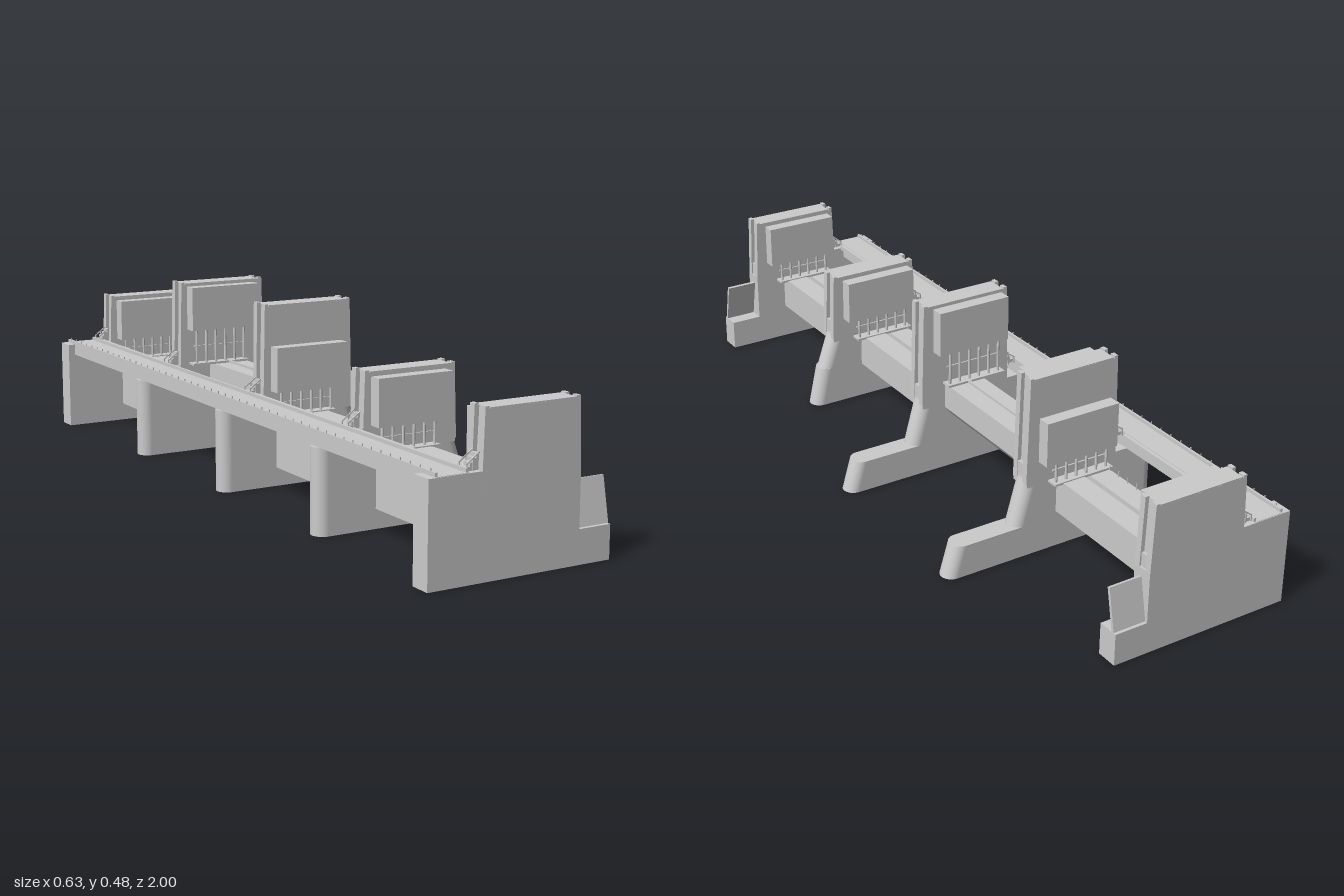
import * as THREE from 'three';

const grey = new THREE.MeshStandardMaterial({ color: 0xcccccc, side: THREE.DoubleSide, flatShading: true });

export function createModel() {
  const model = new THREE.Group();
  model.name = 'riverBarrage';

  function add(parent, name, geometry) {
    const m = new THREE.Mesh(geometry, grey);
    m.name = name;
    parent.add(m);
    return m;
  }
  // Box from its minimum and maximum corners
  function box(parent, name, x0, x1, y0, y1, z0, z1) {
    const g = new THREE.BoxGeometry(x1 - x0, y1 - y0, Math.abs(z1 - z0));
    g.translate((x0 + x1) / 2, (y0 + y1) / 2, (z0 + z1) / 2);
    return add(parent, name, g);
  }
  // Extrusion of a side profile across the width w
  function slab(parent, name, points, w) {
    const shape = new THREE.Shape(points.map(p => new THREE.Vector2(p[0], p[1])));
    const g = new THREE.ExtrudeGeometry(shape, { depth: w, bevelEnabled: false });
    g.translate(0, 0, -w / 2);
    return add(parent, name, g);
  }
  // Upright block with round ends, its nose moved out by flare at the bottom
  function roundBlock(parent, name, x0, x1, w, y0, y1, flare, roundBack) {
    const r = w / 2;
    const s = new THREE.Shape();
    s.moveTo(x0 + (roundBack ? r : 0), -r);
    s.lineTo(x1 - r, -r);
    s.absarc(x1 - r, 0, r, -Math.PI / 2, Math.PI / 2, false);
    if (roundBack) s.absarc(x0 + r, 0, r, Math.PI / 2, Math.PI * 1.5, false);
    else s.lineTo(x0, r);
    s.closePath();
    const g = new THREE.ExtrudeGeometry(s, { depth: y1 - y0, bevelEnabled: false, curveSegments: 14 });
    g.rotateX(-Math.PI / 2);
    g.translate(0, y0, 0);
    const p = g.attributes.position;
    for (let i = 0; i < p.count; i++) {
      if (p.getX(i) > x1 - r - 0.001) p.setX(i, p.getX(i) + flare * (y1 - p.getY(i)) / (y1 - y0));
    }
    g.computeVertexNormals();
    return add(parent, name, g);
  }

  // Tower with ribs on its ends, and a stair to the deck
  function tower(parent, top, w) {
    slab(parent, 'tower', [[-0.168, 0.2], [0.08, 0.2], [0.073, top], [-0.16, top]], w);
    for (const z of [-1, 1]) {
      const rib = slab(parent, 'towerRib', [[-0.178, 0.2], [0.09, 0.2], [0.083, top + 0.003],
        [0.073, top + 0.003], [0.073, top - 0.003], [-0.162, top - 0.003], [-0.162, top + 0.003], [-0.172, top + 0.003]], w * 0.3);
      rib.position.z = z * w * 0.352;
    }
    for (let i = 0; i < 4; i++) {
      box(parent, 'stairStep', -0.207 + i * 0.009, -0.17, 0.248 + i * 0.009, 0.257 + i * 0.009, -0.012, 0.012);
    }
    for (const z of [-0.014, 0.014]) {
      slab(parent, 'stairRail', [[-0.21, 0.265], [-0.175, 0.29], [-0.175, 0.286], [-0.21, 0.261]], 0.002).position.z = z;
      box(parent, 'stairPost', -0.21, -0.207, 0.245, 0.266, z - 0.001, z + 0.001);
      box(parent, 'stairPost', -0.193, -0.19, 0.245, 0.277, z - 0.001, z + 0.001);
    }
  }

  // Hoist housing on a tower side (dir is +1 or -1), with gate rods below
  function hoist(parent, dir, w, y0, y1, rodBottom) {
    const z = dir * w / 2;
    box(parent, 'hoistHousing', -0.155, 0.055, y0, y1, z, z + dir * 0.035);
    box(parent, 'hoistSill', -0.15, 0.025, rodBottom, rodBottom + 0.006, z, z + dir * 0.03);
    for (let i = 0; i < 6; i++) {
      const rod = add(parent, 'gateRod', new THREE.CylinderGeometry(0.0035, 0.0035, y0 - rodBottom, 8));
      rod.position.set(-0.135 + i * 0.03, (y0 + rodBottom) / 2, z + dir * 0.018);
    }
    box(parent, 'rodBrace', -0.14, 0.02, (y0 + rodBottom) / 2, (y0 + rodBottom) / 2 + 0.004, z + dir * 0.008, z + dir * 0.012);
  }

  // Middle piers: z, tower top, nose length, nose height, raised hoist side
  const midPiers = [
    { z: 0.49, top: 0.385, nose: 0.13, noseTop: 0.11, raised: 0 },
    { z: 0.002, top: 0.481, nose: 0.29, noseTop: 0.085, raised: -1 },
    { z: -0.485, top: 0.481, nose: 0.29, noseTop: 0.085, raised: 1 },
  ];
  for (const { z, top, nose, noseTop, raised } of midPiers) {
    const pier = new THREE.Group();
    pier.name = 'middlePier';
    pier.position.z = z;
    model.add(pier);
    const w = 0.058;
    roundBlock(pier, 'pierBody', -0.3, 0.09, w, 0, 0.215, 0, true);
    roundBlock(pier, 'pierShoulder', -0.05, 0.09, w, noseTop, 0.212, 0.035, false);
    roundBlock(pier, 'pierNose', -0.05, nose, w, 0, noseTop, 0.025, false);
    box(pier, 'towerBase', -0.178, 0.088, 0.19, 0.25, -w / 2, w / 2);
    tower(pier, top, w);
    for (const dir of [-1, 1]) {
      if (dir === raised) hoist(pier, dir, w, 0.35, 0.472, 0.25);
      else hoist(pier, dir, w, 0.255, 0.373, 0.19);
    }
  }

  // End piers with a wing plate
  for (const side of [-1, 1]) {
    const pier = new THREE.Group();
    pier.name = 'endPier';
    pier.position.z = side * 0.972;
    model.add(pier);
    const w = 0.056;
    slab(pier, 'endPierBody', [[-0.315, 0], [0.178, 0], [0.178, 0.083], [0.09, 0.083], [0.09, 0.213],
      [0.085, 0.213], [0.085, 0.248], [-0.315, 0.248]], w);
    tower(pier, 0.385, w);
    hoist(pier, -side, w, 0.255, 0.373, 0.19);
    const wing = box(pier, 'wingPlate', 0.088, 0.178, -0.055, 0.055, -0.004, 0.004);
    wing.position.set(0, 0.137, side * 0.006);
    wing.rotation.x = -side * 0.2;
  }

  // Road deck with curbs and railing posts
  box(model, 'deck', -0.295, -0.21, 0.217, 0.249, -0.998, 0.998);
  for (const x of [-0.295, -0.216]) box(model, 'deckCurb', x, x + 0.006, 0.247, 0.258, -0.995, 0.995);
  for (let i = 0; i <= 50; i++) {
    box(model, 'railingPost', -0.2945, -0.292, 0.25, 0.264, i * 0.039 - 0.976, i * 0.039 - 0.974);
  }

  // Lowered gate beams in three bays
  const bays = [[0.518, 0.946], [0.03, 0.462], [-0.946, -0.513]];
  for (const [z0, z1] of bays) {
    box(model, 'upstreamBeam', -0.14, -0.08, 0.05, 0.19, z0, z1);
    box(model, 'downstreamBeam', -0.063, 0, 0.1, 0.193, z0, z1);
    const n = 12;
    for (let i = 1; i < n; i++) {
      const z = z0 + (z1 - z0) * i / n;
      box(model, 'beamPost', -0.137, -0.135, 0.19, 0.206, z - 0.001, z + 0.001);
    }
    // Service walkway beside the towers
    box(model, 'serviceWalkway', -0.21, -0.2, 0.243, 0.256, z0, z1);
  }

  // Raised gate in the open bay
  slab(model, 'raisedGate', [[-0.085, 0.175], [-0.07, 0.16], [0.005, 0.16], [0.02, 0.18], [0.02, 0.25], [-0.085, 0.25]], 0.432)
    .position.z = -0.24;
  box(model, 'gateRidge', -0.04, -0.034, 0.25, 0.257, -0.455, -0.027);

  return model;
}
